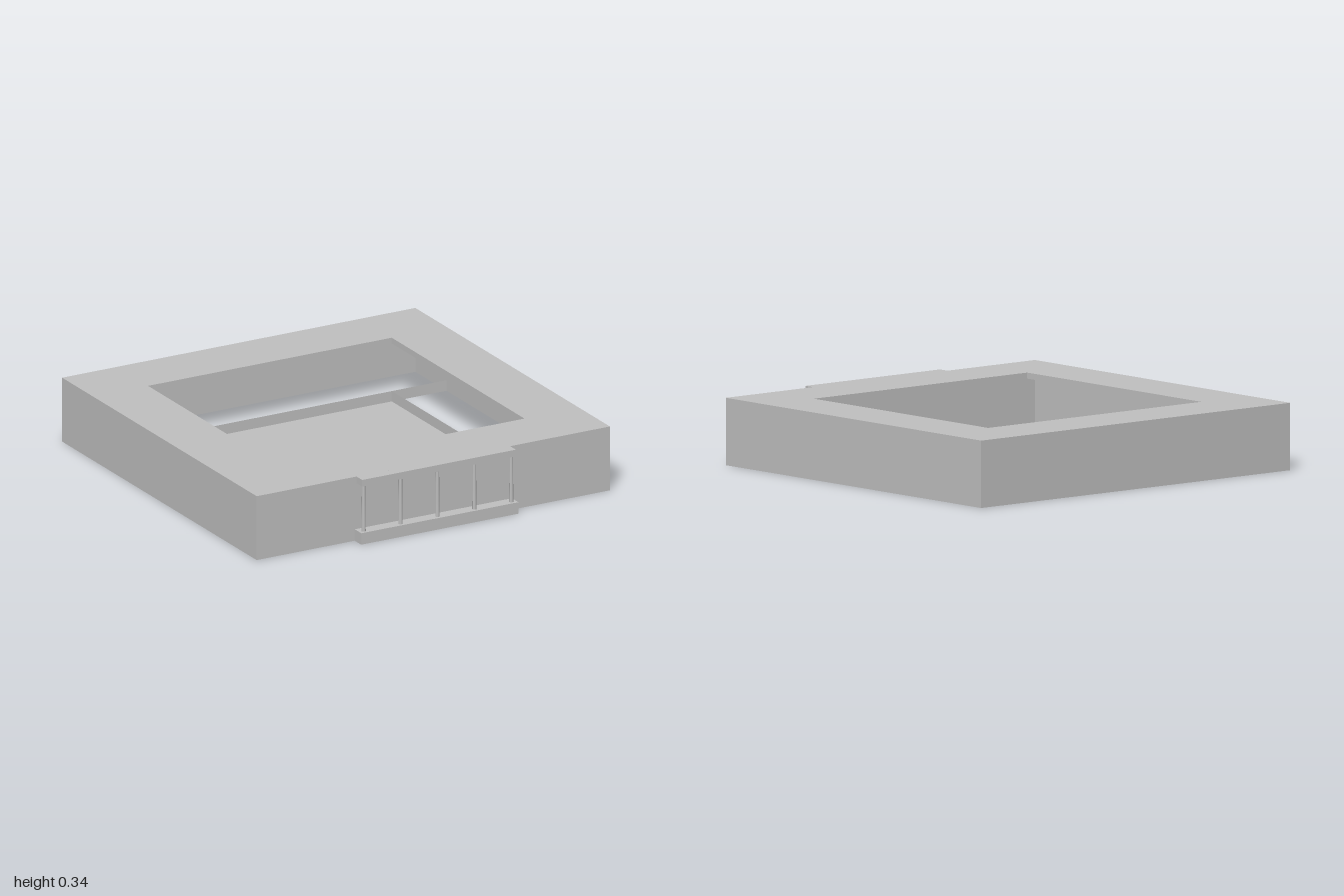
import * as THREE from 'three';

export function createModel() {
  const model = new THREE.Group();
  const grey = new THREE.MeshStandardMaterial({ color: 0xc0c0c0, side: THREE.DoubleSide });
  grey.name = 'light grey';

  const add = (name, geometry, x = 0, y = 0, z = 0) => {
    const mesh = new THREE.Mesh(geometry, grey);
    mesh.name = name;
    mesh.position.set(x, y, z);
    model.add(mesh);
    return mesh;
  };
  // upright sheet running along x, or along z when alongZ is set
  const sheet = (name, length, y0, y1, x, z, alongZ = false) => {
    const mesh = add(name, new THREE.PlaneGeometry(length, y1 - y0), x, (y0 + y1) / 2, z);
    if (alongZ) mesh.rotation.y = Math.PI / 2;
  };
  const flat = (name, width, depth, x, y, z) => {
    add(name, new THREE.PlaneGeometry(width, depth), x, y, z).rotation.x = -Math.PI / 2;
  };

  const H = 0.335, FRONT = 0.935, BACK = -1;     // body
  const IN = 0.69, IN_FRONT = 0.63, IN_BACK = -0.69; // courtyard
  const midZ = (FRONT + BACK) / 2, inMidZ = (IN_FRONT + IN_BACK) / 2;

  // Outer walls
  sheet('frontWall', 2, 0, H, 0, FRONT);
  sheet('backWall', 2, 0, H, 0, BACK);
  for (const s of [-1, 1]) sheet(s > 0 ? 'leftWall' : 'rightWall', FRONT - BACK, 0, H, s, midZ, true);

  // Roof slab with the square opening
  const rect = (P, w, z0, z1) => {
    const p = new P();
    p.moveTo(-w, -z1);
    p.lineTo(w, -z1);
    p.lineTo(w, -z0);
    p.lineTo(-w, -z0);
    p.closePath();
    return p;
  };
  const roofShape = rect(THREE.Shape, 1, BACK, FRONT);
  roofShape.holes.push(rect(THREE.Path, IN, IN_BACK, IN_FRONT));
  const roof = new THREE.ExtrudeGeometry(roofShape, { depth: 0.03, bevelEnabled: false });
  roof.rotateX(-Math.PI / 2);
  add('roofRing', roof, 0, H - 0.03, 0);

  // Courtyard floor and the low kerbs around it
  flat('courtyardFloor', 2 * IN, IN_FRONT - IN_BACK, 0, 0.001, inMidZ);
  sheet('frontKerb', 2, 0, 0.055, 0, IN_FRONT);
  sheet('backKerb', 2, 0, 0.055, 0, IN_BACK);
  for (const s of [-1, 1]) sheet('sideKerb', IN_FRONT - IN_BACK, 0, 0.055, s * IN, inMidZ, true);

  // Porch: hollow step, canopy and five posts
  const stepW = 0.89, stepH = 0.06, depth = 1 - FRONT, canopyY = 0.3;
  flat('stepTop', stepW, depth, 0, stepH, FRONT + depth / 2);
  sheet('stepFront', stepW, 0, stepH, 0, 1);
  for (const s of [-1, 1]) sheet('stepSide', depth, 0, stepH, s * stepW / 2, FRONT + depth / 2, true);

  const canopyD = 0.057;
  add('canopy', new THREE.BoxGeometry(0.87, H - canopyY, canopyD), 0, (H + canopyY) / 2, FRONT + canopyD / 2);

  const post = new THREE.CylinderGeometry(0.009, 0.011, canopyY - stepH, 8);
  for (let i = -2; i <= 2; i++) add('post', post, i * 0.209, (canopyY + stepH) / 2, 0.976);

  return model;
}
